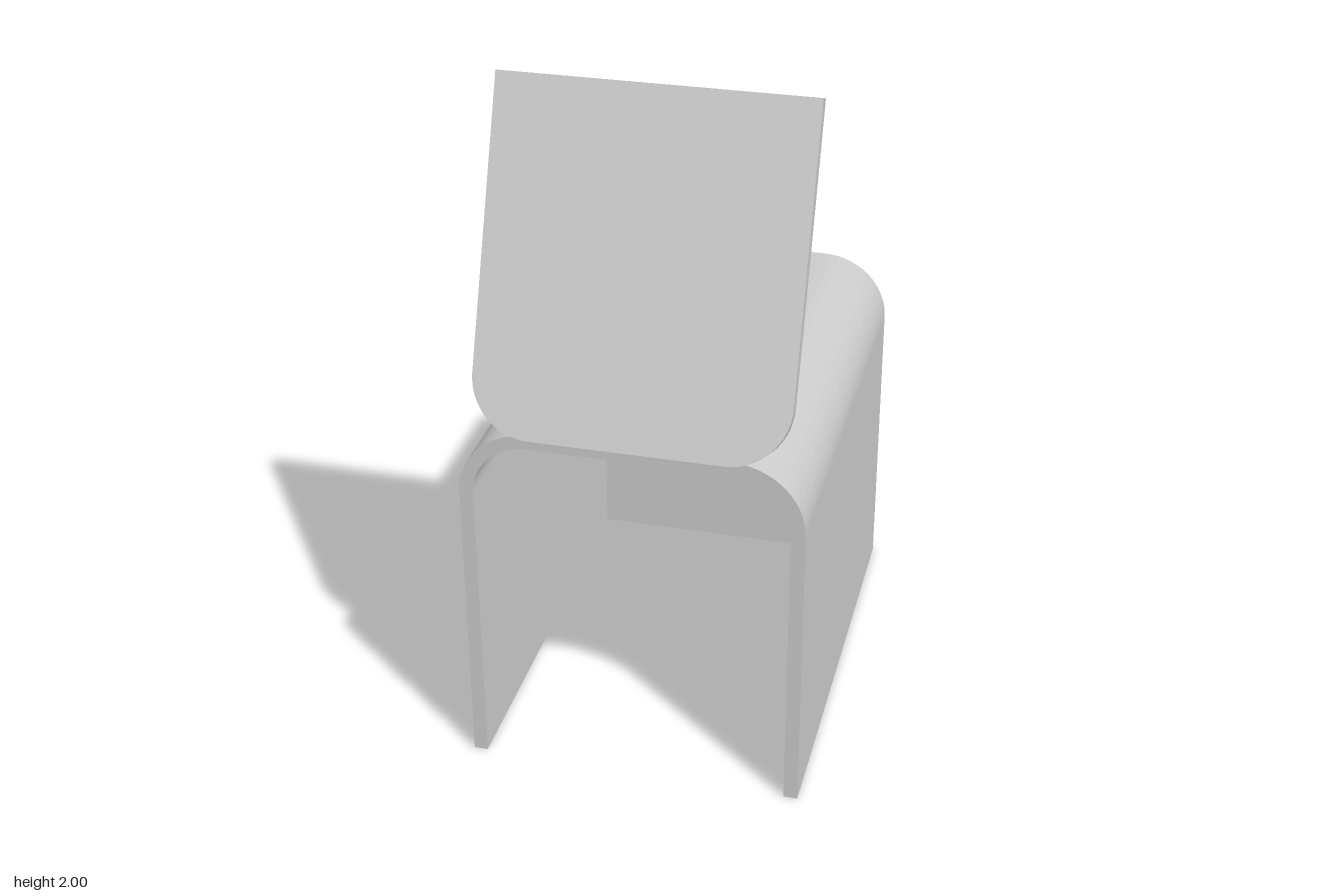
import * as THREE from 'three';
import { toCreasedNormals } from 'three/addons/utils/BufferGeometryUtils.js';

const material = new THREE.MeshStandardMaterial({ color: 0xcccccc });

function addPart(group, name, geometry) {
  const mesh = new THREE.Mesh(geometry, material);
  mesh.name = name;
  group.add(mesh);
  return mesh;
}

// Rectangle centred on x, from y0 to y1, with separate radii for bottom and top corners
function roundedRect(halfW, y0, y1, rBottom, rTop) {
  const s = new THREE.Shape();
  s.moveTo(-halfW + rBottom, y0);
  s.lineTo(halfW - rBottom, y0);
  if (rBottom) s.absarc(halfW - rBottom, y0 + rBottom, rBottom, -Math.PI / 2, 0);
  s.lineTo(halfW, y1 - rTop);
  if (rTop) s.absarc(halfW - rTop, y1 - rTop, rTop, 0, Math.PI / 2);
  s.lineTo(-halfW + rTop, y1);
  if (rTop) s.absarc(-halfW + rTop, y1 - rTop, rTop, Math.PI / 2, Math.PI);
  s.lineTo(-halfW, y0 + rBottom);
  if (rBottom) s.absarc(-halfW + rBottom, y0 + rBottom, rBottom, Math.PI, Math.PI * 1.5);
  return s;
}

// Arch outline: outer rounded profile minus the inner one, open at the bottom
function archShape(W, H, R, t) {
  const s = new THREE.Shape();
  s.moveTo(W, 0);
  s.lineTo(W, H - R);
  s.absarc(W - R, H - R, R, 0, Math.PI / 2);
  s.absarc(-W + R, H - R, R, Math.PI / 2, Math.PI);
  s.lineTo(-W, 0);
  s.lineTo(-W + t, 0);
  s.absarc(-W + R, H - R, R - t, Math.PI, Math.PI / 2, true);
  s.absarc(W - R, H - R, R - t, Math.PI / 2, 0, true);
  s.lineTo(W - t, 0);
  return s;
}

export function createModel() {
  const model = new THREE.Group();
  const halfW = 0.485, top = 1.088, radius = 0.2, wall = 0.04;
  const back = -0.685, front = 0.65, backThickness = 0.035;

  // Hood: arched walls and a closed back
  const hood = new THREE.Group();
  hood.name = 'hood';
  model.add(hood);
  addPart(hood, 'archedShell', new THREE.ExtrudeGeometry(archShape(halfW, top, radius, wall),
    { depth: front - back - backThickness, bevelEnabled: false, curveSegments: 7 }))
    .position.z = back + backThickness;
  addPart(hood, 'backPanel', new THREE.ExtrudeGeometry(roundedRect(halfW, 0, top, 0, radius),
    { depth: backThickness, bevelEnabled: false, curveSegments: 7 })).position.z = back;

  // Tilted plate with rounded lower corners; its origin is the lower back edge
  const plate = addPart(model, 'tiltedPlate', toCreasedNormals(
    new THREE.ExtrudeGeometry(roundedRect(0.438, 0, 0.974, 0.17, 0),
      { depth: 0.038, bevelEnabled: false, curveSegments: 12 }), 0.5));
  plate.position.set(0, 1.081, 0.65);
  plate.rotation.x = -Math.atan2(0.36, 0.905);

  // Mount set into the hood: flat foot and a soft-edged collar
  const mount = new THREE.Group();
  mount.name = 'mount';
  mount.position.set(0, 0, -0.0925);
  model.add(mount);
  const foot = addPart(mount, 'mountFoot', toCreasedNormals(
    new THREE.ExtrudeGeometry(roundedRect(0.127, -0.0775, 0.0775, 0.035, 0.035),
      { depth: 0.05, bevelEnabled: false, curveSegments: 6 }), 0.6));
  foot.rotation.x = -Math.PI / 2;
  foot.position.y = 1.038;
  const bevel = 0.02;
  const collar = addPart(mount, 'mountCollar', toCreasedNormals(
    new THREE.ExtrudeGeometry(roundedRect(0.127 - bevel, -0.0775 + bevel, 0.0775 - bevel, 0.018, 0.018),
      { depth: 0.045, bevelSize: bevel, bevelThickness: bevel, bevelSegments: 5, curveSegments: 6 }), 0.6));
  collar.rotation.x = -Math.PI / 2;
  collar.position.y = 1.081;

  // Curved arm: a rounded bar bent along a path in the side plane
  const path = new THREE.CatmullRomCurve3([
    [1.1, -0.094], [1.2, -0.083], [1.375, 0.005], [1.46, 0.085], [1.515, 0.177], [1.552, 0.315], [1.585, 0.45],
  ].map(([y, z]) => new THREE.Vector3(0, y, z)), false, 'centripetal');
  const arm = new THREE.ExtrudeGeometry(roundedRect(0.085, -0.0375, 0.0375, 0.022, 0.022),
    { depth: 1, steps: 32, bevelEnabled: false, curveSegments: 5 });
  const pos = arm.attributes.position;
  for (let i = 0; i < pos.count; i++) {
    const t = Math.min(1, Math.max(0, pos.getZ(i)));
    const p = path.getPointAt(t), tan = path.getTangentAt(t), offset = pos.getY(i);
    pos.setXYZ(i, pos.getX(i), p.y + tan.z * offset, p.z - tan.y * offset);
  }
  addPart(model, 'curvedArm', toCreasedNormals(arm, 0.6));

  return model;
}
